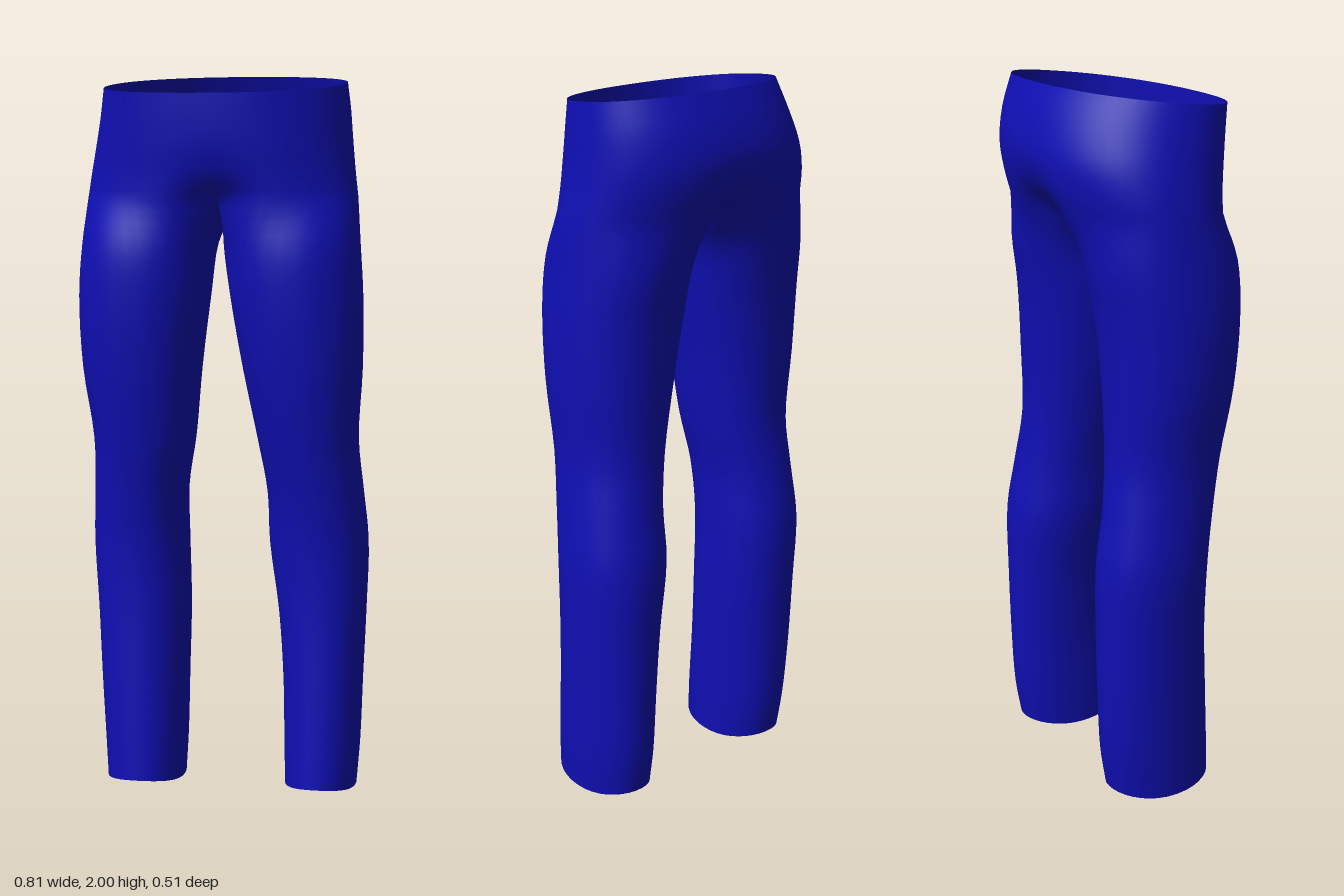
import * as THREE from 'three';
import { mergeVertices } from 'three/addons/utils/BufferGeometryUtils.js';

const OUTER = 28, INNER = 12; // columns round the outside and inside of one leg

// Pelvis rings: front y, back y, right x, left x, front z, back z, centre pinch, sideways sway
const PELVIS = [
  [1.947, 2.0, -0.32, 0.325, 0.255, -0.205, 0, 0.2],
  [1.88, 1.91, -0.34, 0.335, 0.253, -0.24, 0, 0.13],
  [1.8, 1.82, -0.36, 0.345, 0.248, -0.257, 0.01, 0.06],
  [1.73, 1.74, -0.375, 0.355, 0.24, -0.245, 0.07, 0.02],
  [1.67, 1.67, -0.385, 0.365, 0.236, -0.222, 0.27, 0],
];
// Leg sections: y, right leg outer and inner x, left leg inner and outer x, front z, back z
const LEG = [
  [1.54, -0.398, -0.022, 0.0, 0.375, 0.237, -0.175],
  [1.4, -0.406, -0.04, 0.02, 0.385, 0.24, -0.152],
  [1.2, -0.398, -0.065, 0.055, 0.386, 0.222, -0.137],
  [1.0, -0.372, -0.085, 0.095, 0.376, 0.19, -0.132],
  [0.85, -0.375, -0.11, 0.12, 0.39, 0.164, -0.15],
  [0.7, -0.382, -0.112, 0.125, 0.404, 0.146, -0.172],
  [0.5, -0.372, -0.108, 0.152, 0.4, 0.144, -0.17],
  [0.3, -0.362, -0.112, 0.167, 0.393, 0.155, -0.165],
  [0.12, -0.35, -0.115, 0.172, 0.388, 0.168, -0.155],
  [0, -0.342, -0.12, 0.176, 0.38, 0.174, -0.138],
];

// Rounded-oval point; angle 0 is the front, 90 degrees is +x
function oval(angle, x0, x1, zf, zb, power) {
  const soft = (v) => Math.sign(v) * Math.abs(v) ** (2 / power);
  return [
    (x0 + x1) / 2 + ((x1 - x0) / 2) * soft(Math.sin(angle)),
    (zf + zb) / 2 + ((zf - zb) / 2) * soft(Math.cos(angle)),
  ];
}

function pelvisPoint(ring, angle) {
  const [yf, yb, x0, x1, zf, zb, pinch, sway] = ring;
  let [x, z] = oval(angle, x0, x1, zf, zb, 2.25);
  const y = yb + ((yf - yb) * (z - zb)) / (zf - zb);
  if (Math.abs(Math.sin(angle)) < 1e-9) x = 0;
  z *= 1 - pinch * Math.exp(-((x / 0.08) ** 2));
  return new THREE.Vector3(x - sway * (z - 0.025), y, z);
}

// One leg column, from the hip or crotch edge down to the hem
function legColumn(side, i) {
  const last = PELVIS[PELVIS.length - 1];
  const open = THREE.MathUtils.degToRad(55);
  const points = [];
  let angle;
  if (i <= OUTER) {
    const t = i / OUTER;
    points.push(pelvisPoint(last, side * Math.PI * t));
    angle = -open + t * (Math.PI + 2 * open);
  } else {
    // Crotch seam sags between the back and front centre points
    const t = (i - OUTER) / INNER;
    const seam = pelvisPoint(last, Math.PI).lerp(pelvisPoint(last, 0), t);
    seam.y -= 0.075 * Math.sin(Math.PI * t);
    points.push(seam);
    angle = Math.PI + open + t * (Math.PI - 2 * open);
  }
  for (const [y, ro, ri, li, lo, zf, zb] of LEG) {
    const [x0, x1] = side > 0 ? [li, lo] : [ro, ri];
    const [x, z] = oval(side * angle, x0, x1, zf, zb, 2.15);
    points.push(new THREE.Vector3(x, y + (y === 0 ? 0.8 * z * z : 0), z));
  }
  return points;
}

// Skin smooth curves through the columns of a closed tube
function skin(columns, rows, flip, positions, index) {
  const base = positions.length / 3, stride = rows + 1, n = columns.length;
  for (const column of columns) {
    const curve = new THREE.CatmullRomCurve3(column);
    for (let r = 0; r <= rows; r++) positions.push(...curve.getPoint(r / rows).toArray());
  }
  for (let c = 0; c < n; c++) {
    for (let r = 0; r < rows; r++) {
      const a = base + c * stride + r, b = base + ((c + 1) % n) * stride + r;
      if (flip) index.push(a, b, a + 1, b, b + 1, a + 1);
      else index.push(a, a + 1, b, b, a + 1, b + 1);
    }
  }
}

export function createModel() {
  const positions = [], index = [];

  // Waist and seat
  const hips = Array.from({ length: OUTER * 2 }, (_, i) =>
    PELVIS.map((ring) => pelvisPoint(ring, (Math.PI * i) / OUTER)));
  skin(hips, 12, false, positions, index);

  // Both legs
  for (const side of [1, -1]) {
    const columns = Array.from({ length: OUTER + INNER }, (_, i) => legColumn(side, i));
    skin(columns, 40, side < 0, positions, index);
  }

  // Weld the hips to the legs so the shading runs across the join
  let geometry = new THREE.BufferGeometry();
  geometry.setAttribute('position', new THREE.Float32BufferAttribute(positions, 3));
  geometry.setIndex(index);
  geometry = mergeVertices(geometry, 1e-4);
  geometry.computeVertexNormals();

  const trousers = new THREE.Mesh(geometry, new THREE.MeshStandardMaterial({
    color: 0x0f0fb4, side: THREE.DoubleSide,
  }));
  trousers.name = 'trousers';
  const group = new THREE.Group();
  group.name = 'trousersModel';
  group.add(trousers);
  return group;
}
